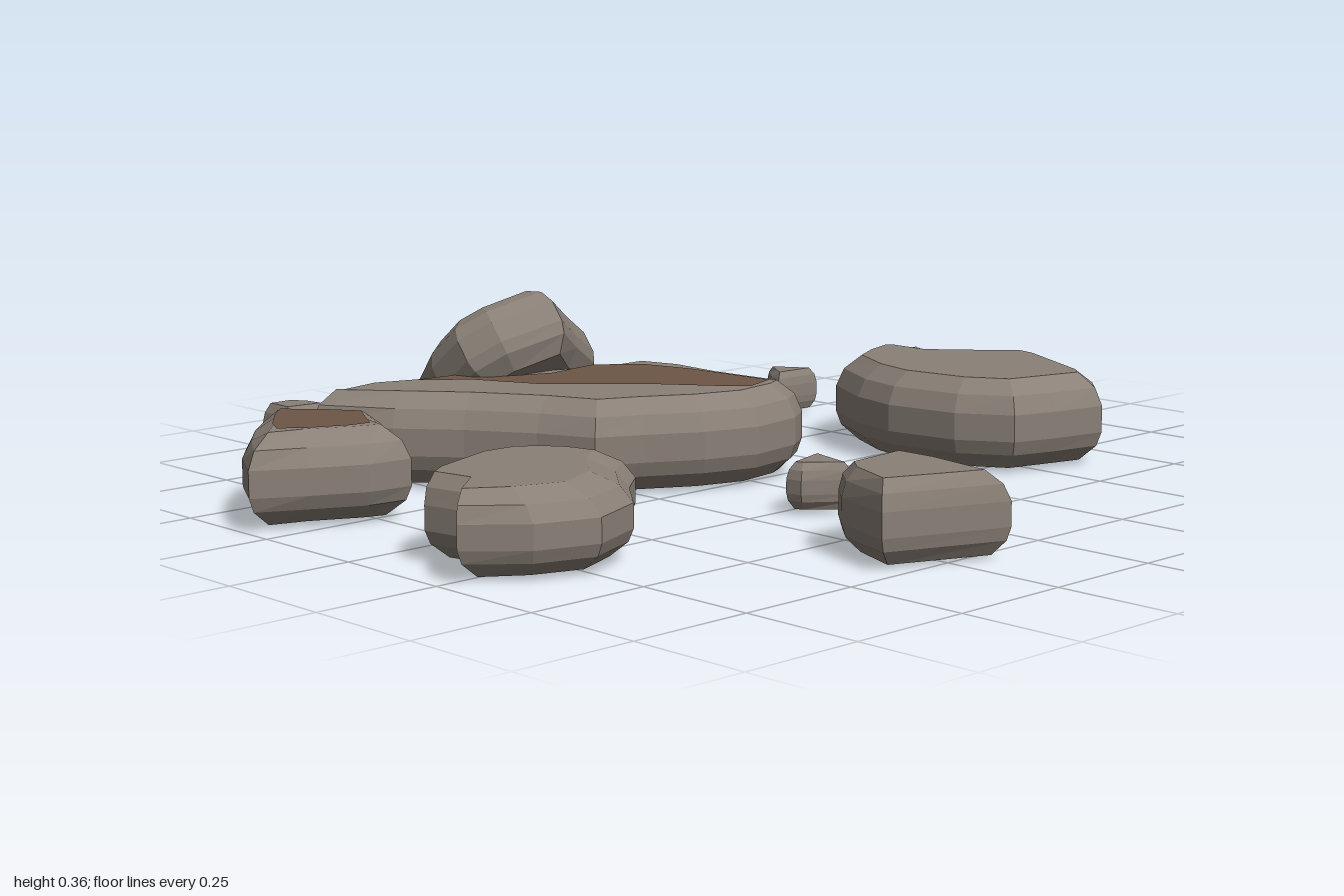
import * as THREE from 'three';

const stone = new THREE.MeshStandardMaterial({ color: 0x8a8077, flatShading: true });
stone.name = 'stone';
const earth = new THREE.MeshStandardMaterial({ color: 0x6e5646, flatShading: true });
earth.name = 'brownEarth';

// Moves each corner of an outline inward along its bisector
function inset(outline, d, dx = 0, dz = 0) {
  const n = outline.length;
  return outline.map(([x, z], i) => {
    const [px, pz] = outline[(i + n - 1) % n], [qx, qz] = outline[(i + 1) % n];
    const a = new THREE.Vector2(pz - z, x - px).normalize();
    const b = new THREE.Vector2(z - qz, qx - x).normalize();
    const m = a.add(b).normalize();
    return [x + m.x * d + dx, z + m.y * d + dz];
  });
}

// Flat polygon at height y, facing up or down
function addCap(out, ring, y, up) {
  const pts = ring.map(([x, z]) => new THREE.Vector2(x, z));
  for (const [i, j, k] of THREE.ShapeUtils.triangulateShape(pts, [])) {
    const [a, b, c] = [ring[i], ring[j], ring[k]];
    const area = (b[0] - a[0]) * (c[1] - a[1]) - (b[1] - a[1]) * (c[0] - a[0]);
    const order = (area > 0) === up ? [a, c, b] : [a, b, c];
    for (const [x, z] of order) out.push(x, y, z);
  }
}

function toMesh(out, name, material) {
  const g = new THREE.BufferGeometry();
  g.setAttribute('position', new THREE.Float32BufferAttribute(out, 3));
  g.computeVertexNormals();
  const mesh = new THREE.Mesh(g, material);
  mesh.name = name;
  return mesh;
}

// Rock lofted through chamfered rings: height share, inset share, lean share
const PROFILE = [[0, 0.9, 0], [0.18, 0.2, 0], [0.34, 0, 0], [0.64, 0, 0], [0.84, 0.3, 0.35], [1, 1, 1]];
function rock(name, outline, y0, y1, bevel, lean = [0, 0]) {
  const rings = PROFILE.map(([t, s, l]) => ({
    y: y0 + (y1 - y0) * t,
    pts: inset(outline, bevel * s, lean[0] * l, lean[1] * l),
  }));
  const out = [];
  for (let r = 0; r + 1 < rings.length; r++) {
    const lo = rings[r], hi = rings[r + 1];
    for (let i = 0; i < outline.length; i++) {
      const j = (i + 1) % outline.length;
      const a = [lo.pts[i][0], lo.y, lo.pts[i][1]], b = [lo.pts[j][0], lo.y, lo.pts[j][1]];
      const c = [hi.pts[i][0], hi.y, hi.pts[i][1]], d = [hi.pts[j][0], hi.y, hi.pts[j][1]];
      out.push(...a, ...c, ...b, ...b, ...c, ...d);
    }
  }
  addCap(out, rings[0].pts, y0, false);
  addCap(out, rings.at(-1).pts, y1, true);
  return toMesh(out, name, stone);
}

function patch(name, outline, y, up) {
  const out = [];
  addCap(out, outline, y, up);
  return toMesh(out, name, earth);
}

export function createModel() {
  const model = new THREE.Group();
  model.name = 'rockCluster';

  // Main slab with earth on its top and underside
  model.add(rock('mainSlab', [[-0.655, -0.585], [-0.62, -0.605], [-0.5, -0.63], [-0.35, -0.58], [-0.18, -0.51],
    [-0.02, -0.45], [0.1, -0.44], [0.145, -0.32], [0.14, -0.19], [0.15, 0], [0.085, 0.045], [-0.04, 0.065],
    [-0.155, 0.03], [-0.26, -0.03], [-0.35, -0.075], [-0.4, -0.19], [-0.48, -0.32], [-0.57, -0.43]],
  0.015, 0.2, 0.055));
  model.add(patch('slabTopEarth', [[-0.44, -0.53], [-0.34, -0.52], [-0.31, -0.45], [-0.18, -0.4], [-0.05, -0.42],
    [0.03, -0.35], [0.06, -0.24], [0.08, -0.025], [0, 0.003], [-0.05, -0.05], [-0.13, -0.16], [-0.21, -0.24],
    [-0.29, -0.32], [-0.35, -0.45]], 0.203, true));
  model.add(patch('slabUndersideEarth', [[-0.15, -0.03], [-0.24, -0.08], [-0.31, -0.12], [-0.35, -0.21],
    [-0.43, -0.34], [-0.35, -0.28], [-0.22, -0.15]], 0.012, false));

  // Rock with an earth-covered top
  model.add(rock('earthToppedRock', [[-0.8, -0.56], [-0.73, -0.52], [-0.69, -0.455], [-0.625, -0.375],
    [-0.67, -0.29], [-0.71, -0.19], [-0.8, -0.2], [-0.9, -0.25], [-0.998, -0.305], [-0.94, -0.41],
    [-0.875, -0.49]], 0.015, 0.19, 0.06));
  model.add(patch('rockTopEarth', [[-0.79, -0.497], [-0.73, -0.43], [-0.69, -0.37], [-0.725, -0.31],
    [-0.755, -0.255], [-0.8, -0.262], [-0.87, -0.295], [-0.915, -0.33], [-0.89, -0.38], [-0.83, -0.457]],
  0.193, true));

  // Tilted slab leaning on the main one
  const slope = 0.68, plan = [[-0.34, -0.49], [-0.345, -0.57], [-0.3, -0.69], [-0.22, -0.755], [-0.13, -0.735],
    [-0.02, -0.755], [0.06, -0.695], [0.08, -0.6], [0.03, -0.52], [-0.075, -0.455], [-0.165, -0.395],
    [-0.29, -0.44]];
  const leaning = rock('leaningSlab', plan.map(([x, z]) => [x, (z + 0.575) * 1.28]), -0.08, 0.08, 0.05);
  leaning.position.set(0, 0.188, -0.58);
  leaning.rotation.x = -slope;
  model.add(leaning);

  // Surrounding rocks
  model.add(rock('largeSideRock', [[0.605, -0.235], [0.66, -0.2], [0.665, -0.1], [0.74, -0.015], [0.805, 0.055],
    [0.795, 0.135], [0.755, 0.215], [0.685, 0.35], [0.63, 0.4], [0.51, 0.375], [0.415, 0.345], [0.35, 0.24],
    [0.325, 0.08], [0.35, -0.03], [0.42, -0.16], [0.51, -0.21]], 0.015, 0.2, 0.055));
  model.add(rock('rightSideRock', [[-0.69, -0.01], [-0.6, -0.005], [-0.54, 0.035], [-0.5, 0.095], [-0.485, 0.19],
    [-0.555, 0.25], [-0.635, 0.35], [-0.755, 0.4], [-0.875, 0.36], [-0.97, 0.27], [-0.895, 0.19],
    [-0.91, 0.105], [-0.85, 0.05]], 0.015, 0.17, 0.05, [-0.02, -0.02]));
  model.add(rock('frontRock', [[-0.3, 0.53], [-0.125, 0.525], [-0.11, 0.64], [-0.155, 0.815], [-0.39, 0.72],
    [-0.35, 0.585]], 0.015, 0.172, 0.04, [-0.015, 0]));
  model.add(rock('leftSideRock', [[0.83, -0.43], [0.995, -0.435], [1, -0.4], [0.95, -0.29], [0.93, -0.24],
    [0.84, -0.175], [0.76, -0.2], [0.755, -0.255], [0.795, -0.35]], 0.018, 0.126, 0.03, [0, -0.015]));

  // Pebbles
  const pebbles = [
    [[[-0.61, -0.82], [-0.54, -0.825], [-0.51, -0.785], [-0.51, -0.725], [-0.61, -0.735]], 0.14],
    [[[0.6, -0.55], [0.635, -0.51], [0.66, -0.45], [0.54, -0.455], [0.555, -0.5]], 0.11],
    [[[-0.17, 0.27], [-0.055, 0.24], [-0.085, 0.365], [-0.165, 0.305]], 0.11],
  ];
  pebbles.forEach(([outline, top], i) => model.add(rock(`pebble${i + 1}`, outline, 0.018, top, 0.018)));
  return model;
}
